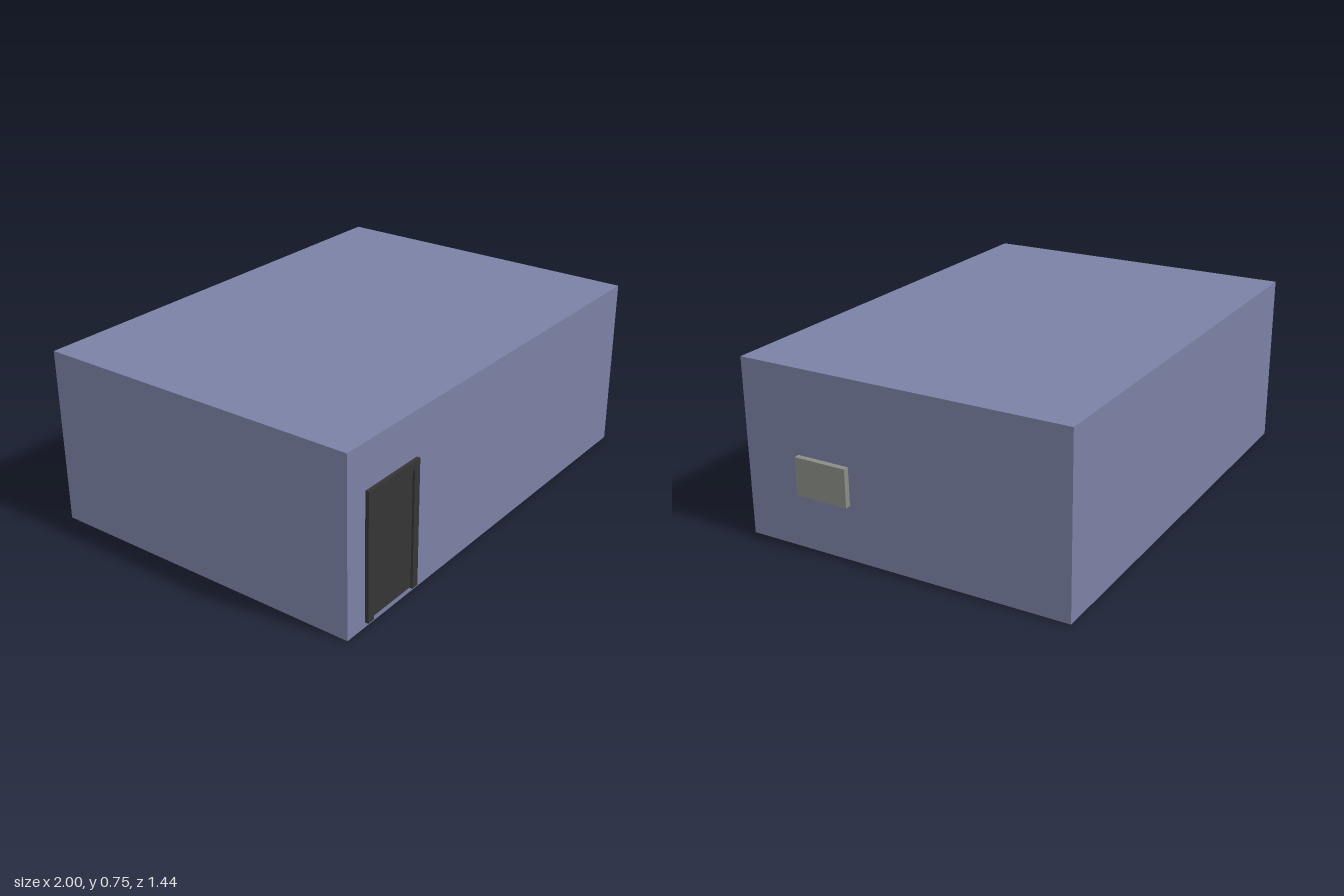
import * as THREE from 'three';

const wallMat = new THREE.MeshStandardMaterial({ color: 0x7a81a4 });
const doorMat = new THREE.MeshStandardMaterial({ color: 0x353535 });
const ventMat = new THREE.MeshStandardMaterial({ color: 0x8a8c86 });

// Box given by its minimum and maximum corners
function block(name, mat, [x0, y0, z0], [x1, y1, z1]) {
  const mesh = new THREE.Mesh(new THREE.BoxGeometry(x1 - x0, y1 - y0, z1 - z0), mat);
  mesh.position.set((x0 + x1) / 2, (y0 + y1) / 2, (z0 + z1) / 2);
  mesh.name = name;
  return mesh;
}

export function createModel() {
  const model = new THREE.Group();
  model.name = 'building';
  const front = 0.705, side = 0.976;

  // Plain building body
  model.add(block('walls', wallMat, [-1, 0, -0.72], [side, 0.746, front]));

  // Door frame: one U-shaped extrusion, open at the bottom
  const outline = [
    [-0.897, 0.022], [-0.863, 0.022], [-0.863, 0.527], [-0.62, 0.527],
    [-0.62, 0.022], [-0.587, 0.022], [-0.587, 0.56], [-0.897, 0.56],
  ].map(([x, y]) => new THREE.Vector2(x, y));
  const frame = new THREE.Mesh(
    new THREE.ExtrudeGeometry(new THREE.Shape(outline), { depth: 0.015, bevelEnabled: false }), doorMat);
  frame.position.z = front;
  frame.name = 'doorFrame';

  // Recessed door leaf
  const leaf = block('doorLeaf', doorMat, [-0.863, 0.027, front - 0.005], [-0.62, 0.527, front + 0.006]);
  const door = new THREE.Group();
  door.name = 'door';
  door.add(frame, leaf);
  model.add(door);

  // Panel on the left wall
  model.add(block('wallPanel', ventMat, [side, 0.232, 0.222], [1, 0.392, 0.455]));
  return model;
}
